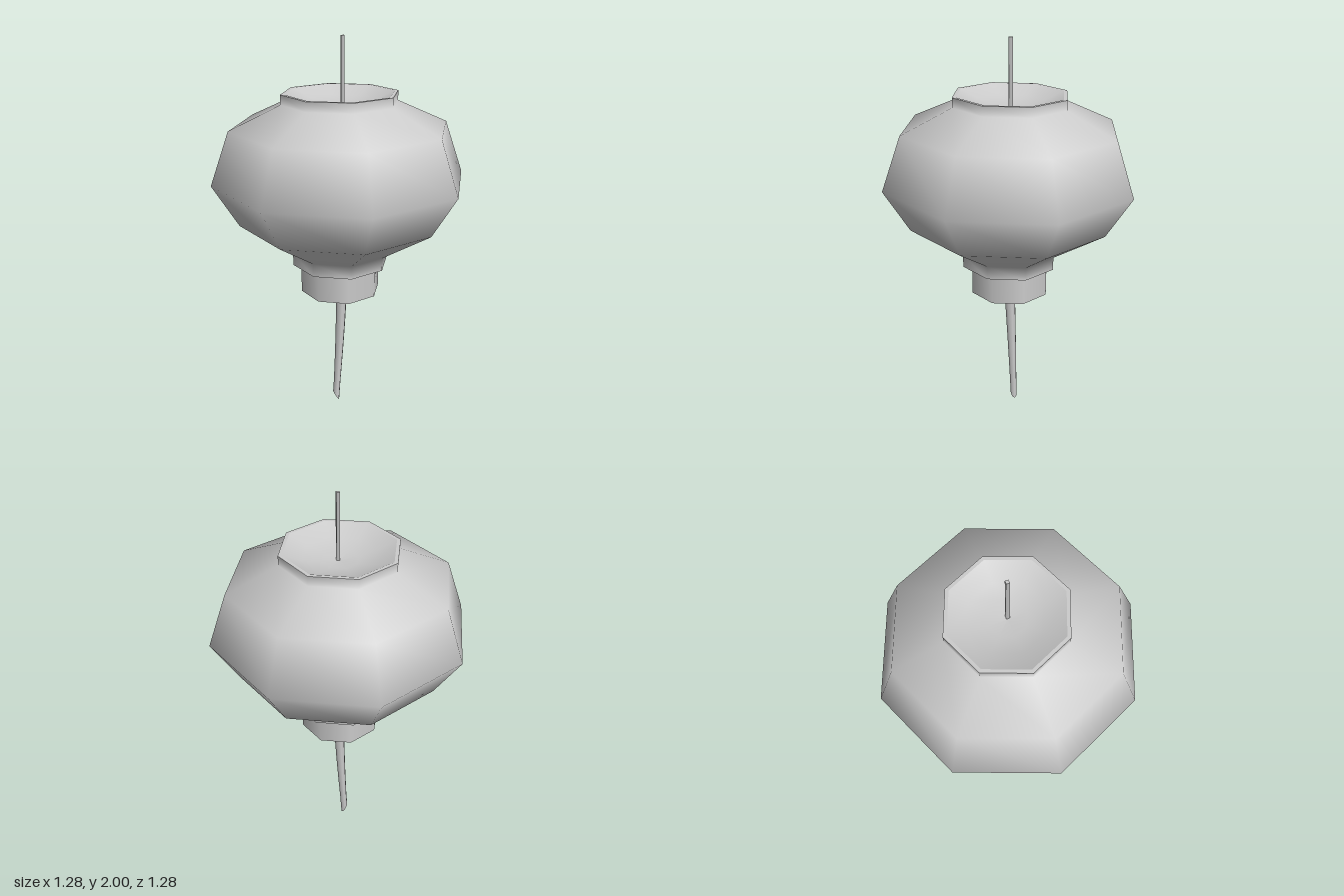
import * as THREE from 'three';

const material = new THREE.MeshStandardMaterial({ color: 0xcccccc, side: THREE.DoubleSide });

function add(parent, name, geometry) {
  const mesh = new THREE.Mesh(geometry, material);
  mesh.name = name;
  parent.add(mesh);
  return mesh;
}

// Eight-sided turned surface, profile given as [radius, height] pairs
function turned(profile) {
  return new THREE.LatheGeometry(profile.map(([r, y]) => new THREE.Vector2(r, y)), 8);
}

export function createModel() {
  const model = new THREE.Group();
  model.name = 'hangingLantern';

  // Lantern body leans very slightly; the pivot sits at its middle
  const lantern = new THREE.Group();
  lantern.name = 'lantern';
  lantern.position.y = 1.3;
  lantern.rotation.x = -0.011;
  model.add(lantern);
  const body = (name, profile) => add(lantern, name, turned(profile.map(([r, y]) => [r, y - 1.3])));

  body('shade', [
    [0.247, 0.863], [0.247, 0.93], [0.51, 1.095], [0.638, 1.307],
    [0.543, 1.57], [0.29, 1.685], [0.29, 1.733],
  ]);
  body('topRim', [[0.29, 1.733], [0.272, 1.733]]);
  body('topDish', [[0.272, 1.733], [0.18, 1.693], [0.09, 1.674], [0, 1.668]]);
  body('underside', [[0, 0.863], [0.247, 0.863]]);

  // Open collar under the shade
  add(model, 'collar', turned([[0.205, 0.71], [0.205, 0.863]]));

  // Thin square hanging wire
  const wire = new THREE.CylinderGeometry(0.011, 0.011, 0.34, 4);
  wire.rotateY(Math.PI / 4);
  add(model, 'wire', wire).position.set(0.01, 1.83, 0);

  // Tapered tassel: bent to one side, with a slanted cut at the tip
  const tassel = new THREE.CylinderGeometry(0.032, 0.017, 0.83, 8, 8);
  tassel.translate(0, 0.455, 0);
  const p = tassel.attributes.position;
  for (let i = 0; i < p.count; i++) {
    const x = p.getX(i), y = p.getY(i), z = p.getZ(i);
    const drop = THREE.MathUtils.clamp((0.75 - y) / 0.71, 0, 1);
    const cut = y < 0.05 ? -1.75 * x : 0;
    p.setXYZ(i, x + 0.006 - 0.024 * drop ** 1.6, y - 0.01 + cut, z + 0.006 - 0.034 * drop);
  }
  add(model, 'tassel', tassel);

  return model;
}
